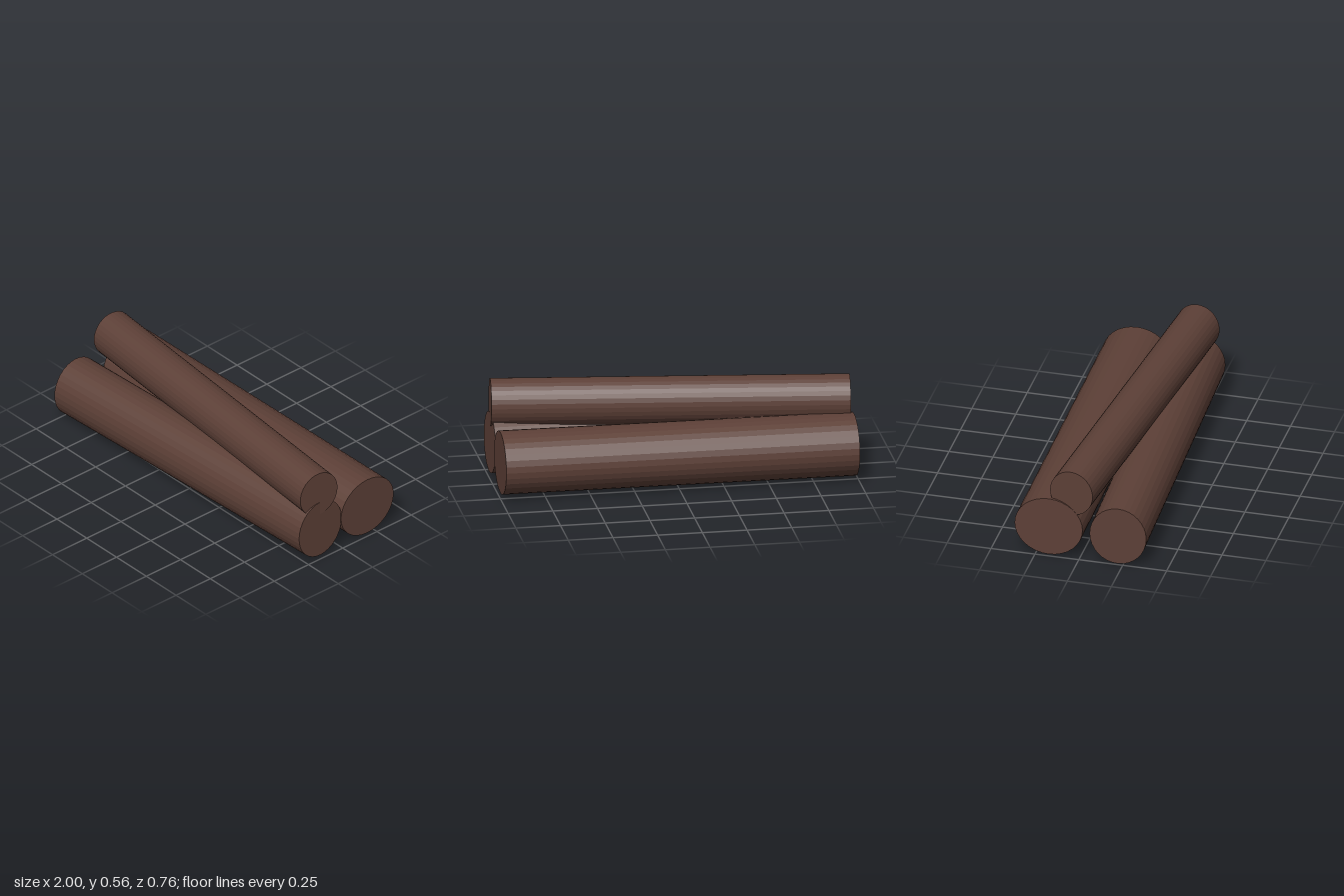
import * as THREE from 'three';

// Slightly oval log between two end centres, cut square to its own axis
function makeLog(name, start, end, ry, rz, material) {
  const a = new THREE.Vector3(...start);
  const b = new THREE.Vector3(...end);
  const along = b.clone().sub(a);
  const length = along.length();
  along.normalize();
  const side = new THREE.Vector3().crossVectors(along, new THREE.Vector3(0, 1, 0)).normalize();
  const up = new THREE.Vector3().crossVectors(side, along);

  const geometry = new THREE.CylinderGeometry(1, 1, 1, 32);
  geometry.rotateZ(-Math.PI / 2);
  geometry.scale(length, ry, rz);

  const log = new THREE.Mesh(geometry, material);
  log.name = name;
  log.quaternion.setFromRotationMatrix(new THREE.Matrix4().makeBasis(along, up, side));
  log.position.copy(a).add(b).multiplyScalar(0.5);
  return log;
}

export function createModel() {
  const group = new THREE.Group();
  group.name = 'logPile';
  const bark = new THREE.MeshStandardMaterial({ color: 0x5d4037, flatShading: true });

  // Two thick logs on the ground, a thinner one lying askew on top
  group.add(
    makeLog('frontLog', [-0.99, 0.173, 0.22], [0.99, 0.193, 0.155], 0.173, 0.16, bark),
    makeLog('backLog', [-0.99, 0.18, -0.175], [0.99, 0.19, -0.188], 0.175, 0.193, bark),
    makeLog('topLog', [-0.987, 0.405, -0.046], [0.987, 0.423, 0.163], 0.134, 0.125, bark),
  );
  return group;
}
